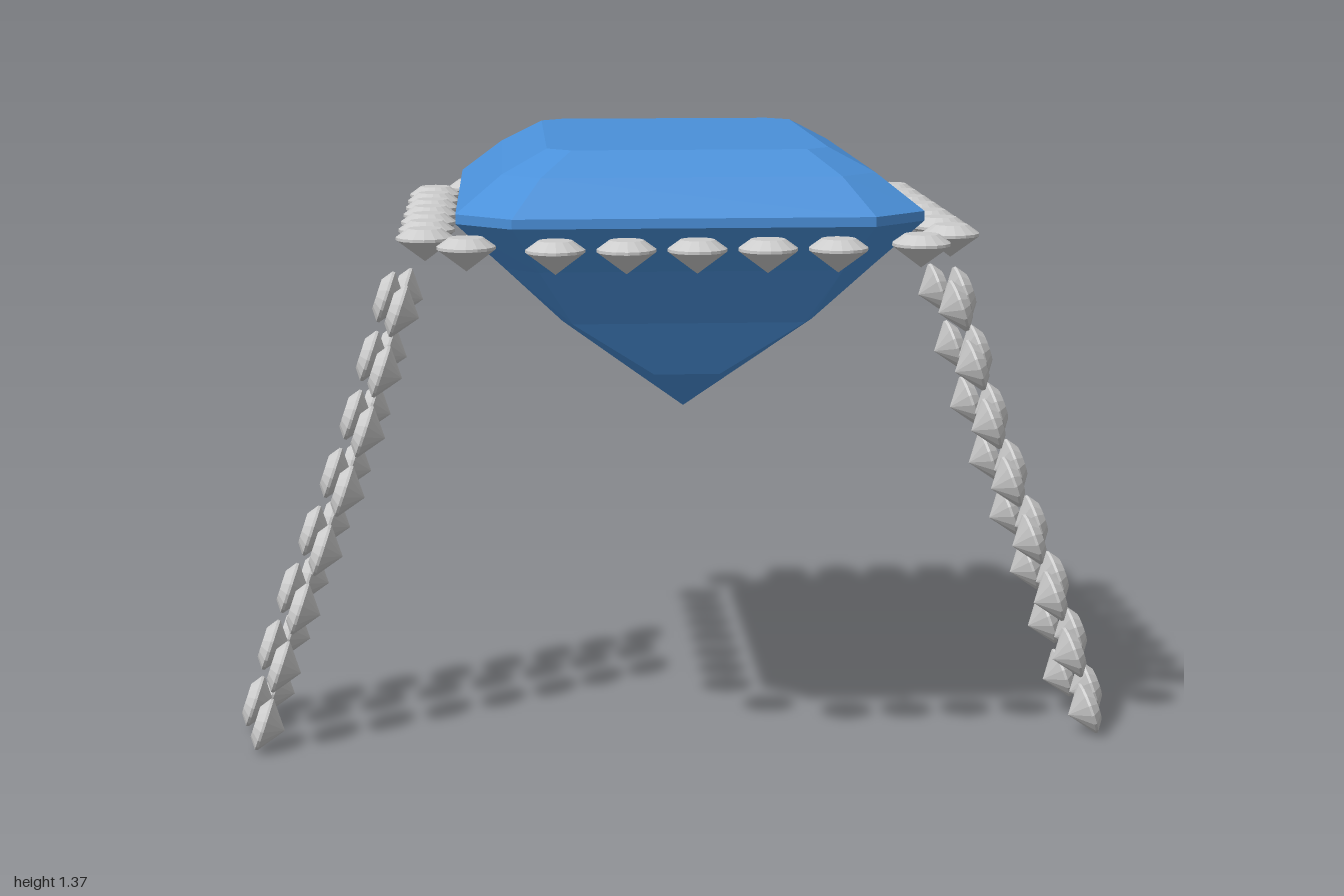
import * as THREE from 'three';

const STONE_R = 0.06;

// Octagonal outline: half width, front and back depth, corner cuts
function outline([y, hx, zf, zb, cx, cz]) {
  return [
    [hx, zf - cz], [hx - cx, zf], [cx - hx, zf], [-hx, zf - cz],
    [-hx, cz - zb], [cx - hx, -zb], [hx - cx, -zb], [hx, cz - zb],
  ].map(([x, z]) => [x, y, z]);
}

// Step-cut gem lofted from the keel up to the table
function stepCutGeometry() {
  const rings = [
    [0.80, 0.0, 0.23, 0.23, 0, 0],
    [0.89, 0.115, 0.355, 0.35, 0.045, 0.07],
    [1.01, 0.265, 0.42, 0.50, 0.02, 0.05],
    [1.13, 0.385, 0.495, 0.51, 0.07, 0.07],
    [1.23, 0.485, 0.585, 0.585, 0.115, 0.105],
    [1.25, 0.485, 0.585, 0.585, 0.115, 0.105],
    [1.325, 0.39, 0.50, 0.50, 0.08, 0.08],
    [1.375, 0.295, 0.43, 0.43, 0.05, 0.05],
  ].map(outline);
  const pos = [];
  for (let r = 0; r < rings.length - 1; r++) {
    for (let i = 0; i < 8; i++) {
      const j = (i + 1) % 8;
      const a = rings[r][i], b = rings[r][j], au = rings[r + 1][i], bu = rings[r + 1][j];
      pos.push(...a, ...au, ...bu, ...a, ...bu, ...b);
    }
  }
  // Flat table on top
  const top = rings[rings.length - 1];
  for (let i = 1; i < 7; i++) pos.push(...top[0], ...top[i + 1], ...top[i]);
  const g = new THREE.BufferGeometry();
  g.setAttribute('position', new THREE.Float32BufferAttribute(pos, 3));
  g.computeVertexNormals();
  return g;
}

export function createModel() {
  const model = new THREE.Group();
  const blue = new THREE.MeshStandardMaterial({ color: 0x4a90d9, flatShading: true });
  const grey = new THREE.MeshStandardMaterial({ color: 0xcccccc, flatShading: true });

  const centre = new THREE.Mesh(stepCutGeometry(), blue);
  centre.name = 'centreStone';
  model.add(centre);

  // Small round stone: pointed pavilion, thin girdle, flat table
  const roundCut = new THREE.LatheGeometry([
    [0, -0.048], [STONE_R, -0.003], [STONE_R, 0.003], [0.035, 0.021], [0, 0.021],
  ].map(([x, y]) => new THREE.Vector2(x, y)), 16);
  const addStone = (group, name, x, y, z, tilt = 0) => {
    const stone = new THREE.Mesh(roundCut, grey);
    stone.name = name;
    stone.position.set(x, y, z);
    stone.rotation.z = tilt;
    group.add(stone);
  };

  // Halo around the centre stone
  const halo = new THREE.Group();
  halo.name = 'halo';
  const haloY = 1.195;
  for (const s of [-1, 1]) {
    for (let i = -3; i <= 3; i++) addStone(halo, 'haloSideStone', s * 0.55, haloY, i * 0.142);
    for (let i = -2; i <= 2; i++) addStone(halo, 'haloEndStone', i * 0.142, haloY, s * 0.655);
    for (const t of [-1, 1]) addStone(halo, 'haloCornerStone', s * 0.462, haloY, t * 0.59);
  }
  model.add(halo);

  // Band shoulders: three columns of eight stones on each side, middle column raised
  const shoulderX = [0.94, 0.9, 0.853, 0.8, 0.748, 0.7, 0.66, 0.62];
  const angle = 0.33; // outward normal above horizontal
  for (const s of [-1, 1]) {
    const shoulder = new THREE.Group();
    shoulder.name = s > 0 ? 'leftShoulder' : 'rightShoulder';
    shoulderX.forEach((x, i) => {
      const y = 0.062 + i * 0.134;
      for (const col of [-1, 0, 1]) {
        const lift = col === 0 ? 0.035 : 0;
        addStone(shoulder, 'shoulderStone',
          s * (x + lift * Math.cos(angle)), y + lift * Math.sin(angle),
          col * 0.143, -s * (Math.PI / 2 - angle));
      }
    });
    model.add(shoulder);
  }
  return model;
}
